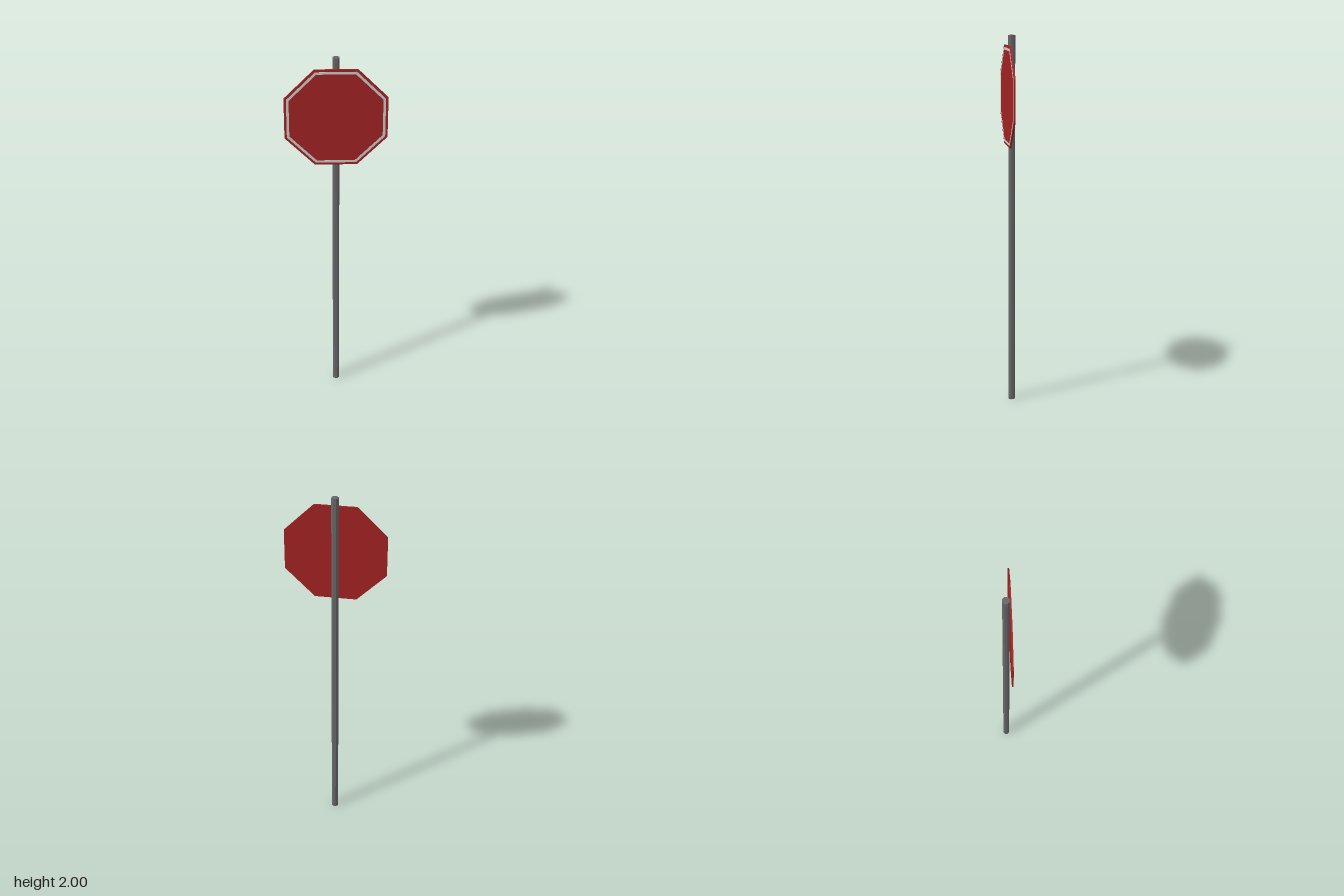
import * as THREE from 'three';

// Regular octagon with flat top and sides, given centre-to-side distance
function octagon(apothem, PathType = THREE.Shape) {
  const r = apothem / Math.cos(Math.PI / 8);
  const points = [];
  for (let i = 0; i < 8; i++) {
    const a = Math.PI / 8 + (i * Math.PI) / 4;
    points.push(new THREE.Vector2(r * Math.cos(a), r * Math.sin(a)));
  }
  return new PathType(points);
}

function addPart(group, name, geometry, color, x, y, z) {
  const material = new THREE.MeshStandardMaterial({ color, flatShading: true });
  const mesh = new THREE.Mesh(geometry, material);
  mesh.name = name;
  mesh.position.set(x, y, z);
  group.add(mesh);
}

export function createModel() {
  const group = new THREE.Group();
  group.name = 'roadSign';
  const signY = 1.684;

  // Eight-sided pole, turned so a flat side meets the panel
  const poleRadius = 0.0175 / Math.cos(Math.PI / 8);
  const pole = new THREE.CylinderGeometry(poleRadius, poleRadius, 2, 8);
  pole.rotateY(Math.PI / 8);
  addPart(group, 'pole', pole, 0x666666, 0, 1, -0.0045);

  // Red octagonal panel
  const panel = new THREE.ExtrudeGeometry(octagon(0.262), { depth: 0.008, bevelEnabled: false });
  addPart(group, 'signPanel', panel, 0xa02222, 0, signY, 0.013);

  // Thin pale border on the panel's front face
  const ring = octagon(0.25);
  ring.holes.push(octagon(0.237, THREE.Path));
  const border = new THREE.ExtrudeGeometry(ring, { depth: 0.001, bevelEnabled: false });
  addPart(group, 'signBorder', border, 0xcccccc, 0, signY, 0.021);

  return group;
}
